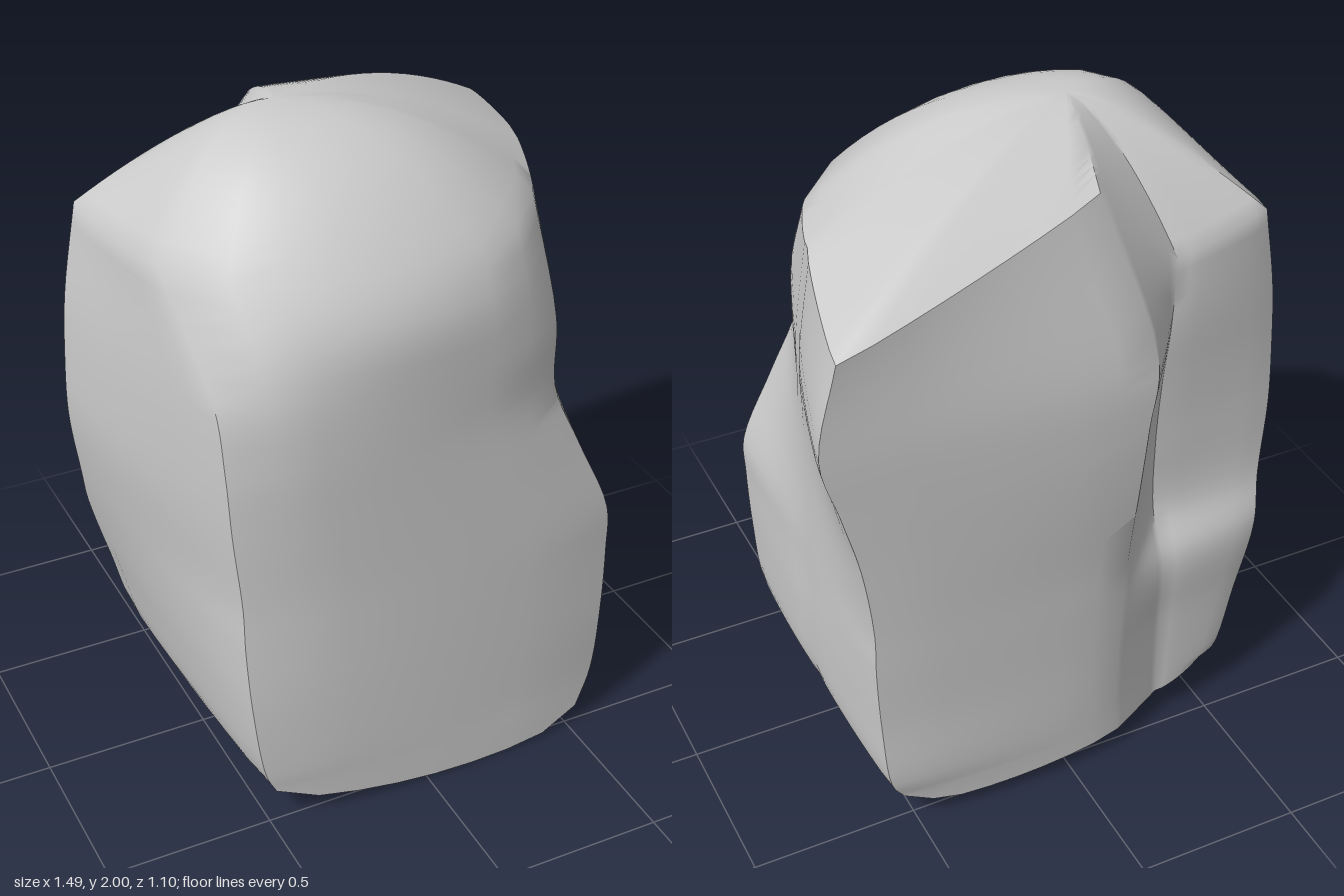
import * as THREE from 'three';
import { toCreasedNormals } from 'three/addons/utils/BufferGeometryUtils.js';

// Corner outlines from base to shoulder, as [x, z] pairs running
// front left, front right, side middle, back right, step outer, step inner, back left
const HEIGHTS = [0.06, 0.18, 0.4, 0.62, 0.76, 1.0, 1.2, 1.4];
const OUTLINES = [
  [-0.48, 0.51, 0.53, 0.51, 0.55, 0, 0.54, -0.53, -0.17, -0.53, -0.34, -0.46, -0.52, -0.44],
  [-0.51, 0.51, 0.58, 0.5, 0.59, 0, 0.58, -0.54, -0.16, -0.53, -0.34, -0.46, -0.55, -0.44],
  [-0.54, 0.5, 0.6, 0.5, 0.61, 0, 0.6, -0.53, -0.16, -0.53, -0.34, -0.46, -0.62, -0.43],
  [-0.55, 0.48, 0.61, 0.49, 0.61, 0, 0.61, -0.53, -0.17, -0.53, -0.34, -0.46, -0.68, -0.42],
  [-0.55, 0.47, 0.61, 0.48, 0.61, 0, 0.61, -0.53, -0.18, -0.53, -0.34, -0.39, -0.71, -0.37],
  [-0.57, 0.46, 0.51, 0.46, 0.6, 0, 0.64, -0.53, -0.2, -0.54, -0.34, -0.38, -0.745, -0.34],
  [-0.58, 0.45, 0.43, 0.44, 0.59, 0, 0.69, -0.53, -0.22, -0.54, -0.35, -0.38, -0.745, -0.33],
  [-0.59, 0.41, 0.44, 0.41, 0.59, -0.02, 0.74, -0.53, -0.25, -0.52, -0.37, -0.38, -0.73, -0.33],
];
// Eave corners, and how quickly the crown rounds over above each
const EAVE = [[-0.63, 1.69, 0.15], [0.46, 1.7, 0.22], [0.57, 1.74, -0.08], [0.68, 1.68, -0.53],
  [-0.13, 1.88, -0.38], [-0.39, 1.6, -0.36], [-0.68, 1.67, -0.34]];
const ROUNDING = [2.6, 2.3, 1.7, 1.7, 1.7, 1.6, 1.4];
const BULGE = [0, 0.01, 0.01, 0.02, 0, 0.01, 0.02];
const APEX = new THREE.Vector3(-0.2, 2, -0.05);
const SEG = 8, WALL = 40, CROWN = 14, BASE = 6;

// Underside: curls up towards both sides and slightly to the back
const baseHeight = (x, z) =>
  0.2 * (x - 0.2) ** 2 + 1.2 * Math.max(0, Math.abs(x) - 0.35) ** 2 + 0.04 * (0.54 - z);

// Front face: nearly upright, leaning back towards the eave
const frontDepth = (y) => 0.54 - 1.6 * Math.max(0, y - 1.48) ** 2;

function buildRings() {
  const n = EAVE.length;
  const edges = EAVE.map((eave, s) => {
    const points = OUTLINES.map((o, r) => new THREE.Vector3(o[2 * s], HEIGHTS[r], o[2 * s + 1]));
    points[0].y = baseHeight(points[0].x, points[0].z);
    return new THREE.CatmullRomCurve3([...points, new THREE.Vector3(...eave)]);
  });

  // Walls: rings joining the corner edges, each side slightly bulged
  const walls = [];
  for (let r = 0; r <= WALL; r++) {
    const corners = edges.map((c) => c.getPoint(r / WALL));
    const ring = [];
    for (let s = 0; s < n; s++) {
      const a = corners[s], b = corners[(s + 1) % n];
      const out = new THREE.Vector3(a.z - b.z, 0, b.x - a.x).normalize();
      const swell = s === 0 ? frontDepth((a.y + b.y) / 2) - (a.z + b.z) / 2 : BULGE[s];
      for (let i = 0; i < SEG; i++) {
        const f = i / SEG;
        const p = a.clone().lerp(b, f).addScaledVector(out, swell * Math.sin(Math.PI * f) ** 0.5);
        if (r === 0) p.y = baseHeight(p.x, p.z);
        ring.push(p);
      }
    }
    walls.push(ring);
  }

  // Base: shrink the lowest ring to a point under the rock
  const base = [];
  for (let r = 0; r < BASE; r++) {
    base.push(walls[0].map((p) => {
      const q = new THREE.Vector3(0.2, 0, 0).lerp(p, r / BASE);
      q.y = baseHeight(q.x, q.z);
      return q;
    }));
  }

  // Crown: round the eave over to the apex
  const crown = [];
  for (let r = 1; r <= CROWN; r++) {
    const t = r / CROWN;
    crown.push(walls[WALL].map((p, i) => {
      const s = Math.floor(i / SEG);
      const k = THREE.MathUtils.lerp(ROUNDING[s], ROUNDING[(s + 1) % n], (i % SEG) / SEG);
      const q = p.clone().lerp(APEX, t);
      q.y = p.y + (APEX.y - p.y) * (1 - (1 - t) ** k);
      return q;
    }));
  }
  return [...base, ...walls, ...crown];
}

export function createModel() {
  const rings = buildRings();
  const count = rings[0].length;
  const last = rings.length - 2;
  const index = [];
  for (let r = 0; r <= last; r++) {
    for (let i = 0; i < count; i++) {
      const a = r * count + i, b = r * count + ((i + 1) % count);
      if (r > 0) index.push(a, b, b + count);
      if (r < last) index.push(a, b + count, a + count);
    }
  }
  const geometry = new THREE.BufferGeometry().setFromPoints(rings.flat());
  geometry.setIndex(index);

  const boulder = new THREE.Mesh(
    toCreasedNormals(geometry, 0.7),
    new THREE.MeshStandardMaterial({ color: 0xcccccc }),
  );
  boulder.name = 'boulder';
  const group = new THREE.Group();
  group.name = 'rock';
  group.add(boulder);
  return group;
}
